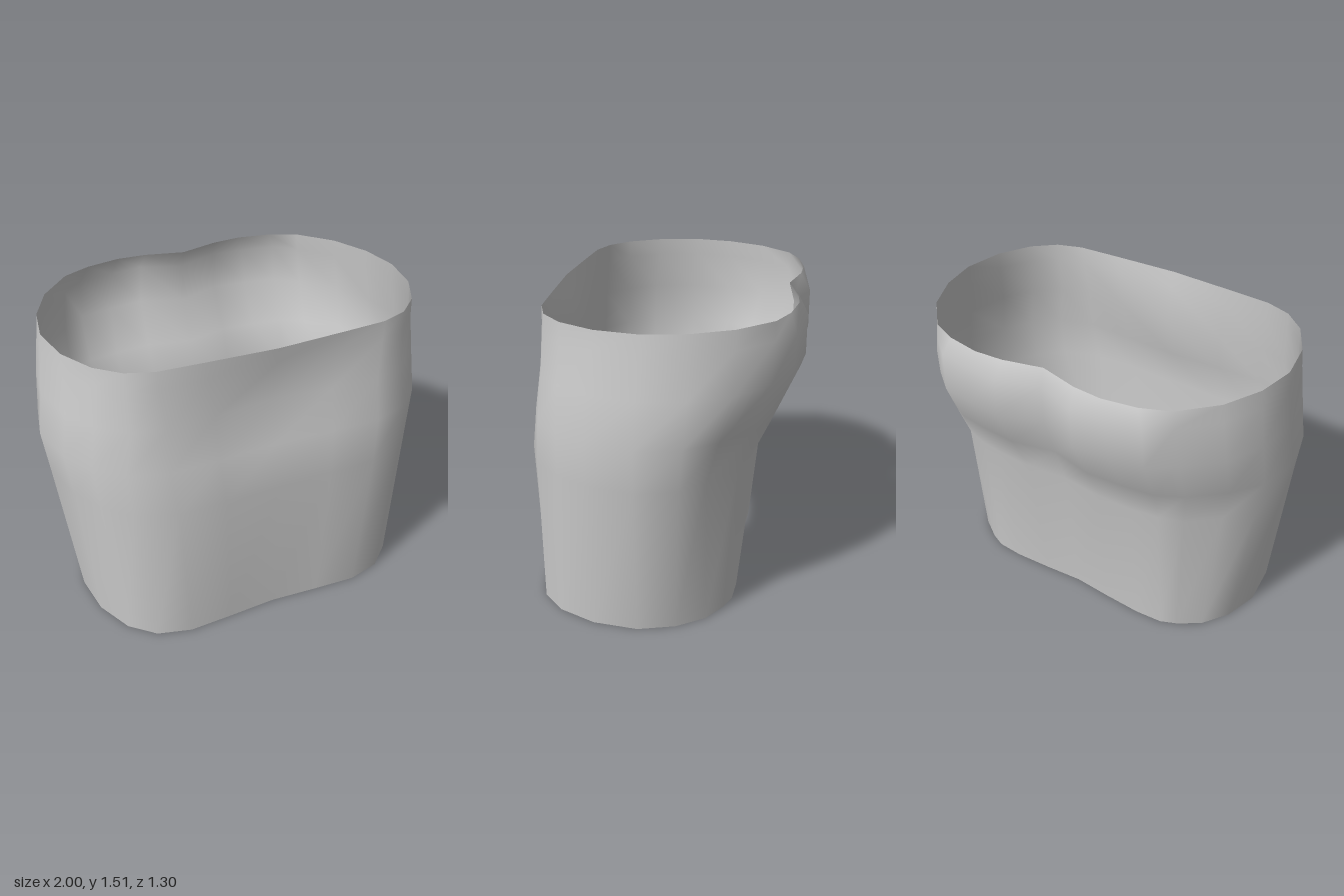
import * as THREE from 'three';

// Half outlines [x, z] from the front centre, round the left side, to the back centre
const hem = [[0, .615], [.25, .63], [.47, .64], [.64, .595], [.76, .485], [.845, .30], [.87, .08],
  [.82, -.10], [.73, -.235], [.62, -.31], [.54, -.345], [.40, -.355], [.20, -.345], [0, -.33]];
const waist = [[0, .65], [.28, .652], [.52, .65], [.72, .575], [.835, .45], [.92, .30], [.97, .07],
  [.92, -.13], [.80, -.24], [.66, -.37], [.54, -.41], [.40, -.43], [.22, -.435], [0, -.415]];
const bulge = [[0, .545], [.30, .572], [.54, .585], [.70, .54], [.83, .43], [.92, .28], [.97, .05],
  [.935, -.17], [.85, -.36], [.69, -.51], [.57, -.605], [.40, -.63], [.22, -.65], [0, -.57]];
const shoulder = [[0, .57], [.33, .567], [.56, .562], [.70, .52], [.81, .415], [.905, .25], [.945, .03],
  [.91, -.17], [.82, -.36], [.67, -.52], [.56, -.61], [.38, -.635], [.21, -.65], [0, -.575]];
const rim = [[0, .585], [.35, .568], [.57, .555], [.70, .51], [.81, .41], [.90, .24], [.935, .03],
  [.90, -.17], [.81, -.36], [.66, -.52], [.52, -.58], [.35, -.61], [.20, -.60], [0, -.55]];

// Widest level, halfway between waist and bulge and slightly broader
const chest = waist.map(([x, z], i) => [(x + bulge[i][0]) * 0.515, (z + bulge[i][1]) / 2]);

const levels = [[0, hem], [0.78, waist], [1.0, chest], [1.22, bulge], [1.42, shoulder], [1.51, rim]];

// Complete a half outline by mirroring it, leaving out the two centre points
const fullRing = half => [...half, ...half.slice(1, -1).reverse().map(([x, z]) => [-x, z])];

export function createModel() {
  const group = new THREE.Group();
  group.name = 'openSleeve';
  const grey = new THREE.MeshStandardMaterial({ color: 0xcccccc, side: THREE.DoubleSide });
  grey.name = 'light grey';

  // Open shell joining the rings
  const positions = [], indices = [];
  const n = fullRing(hem).length;
  levels.forEach(([y, half], row) => {
    fullRing(half).forEach(([x, z], j) => {
      positions.push(x, y, z);
      if (row === levels.length - 1) return;
      const a = row * n + j, b = row * n + (j + 1) % n;
      indices.push(a, b, b + n, a, b + n, a + n);
    });
  });
  const geometry = new THREE.BufferGeometry();
  geometry.setAttribute('position', new THREE.Float32BufferAttribute(positions, 3));
  geometry.setIndex(indices);
  geometry.computeVertexNormals();

  const shell = new THREE.Mesh(geometry, grey);
  shell.name = 'shell';
  group.add(shell);
  return group;
}
